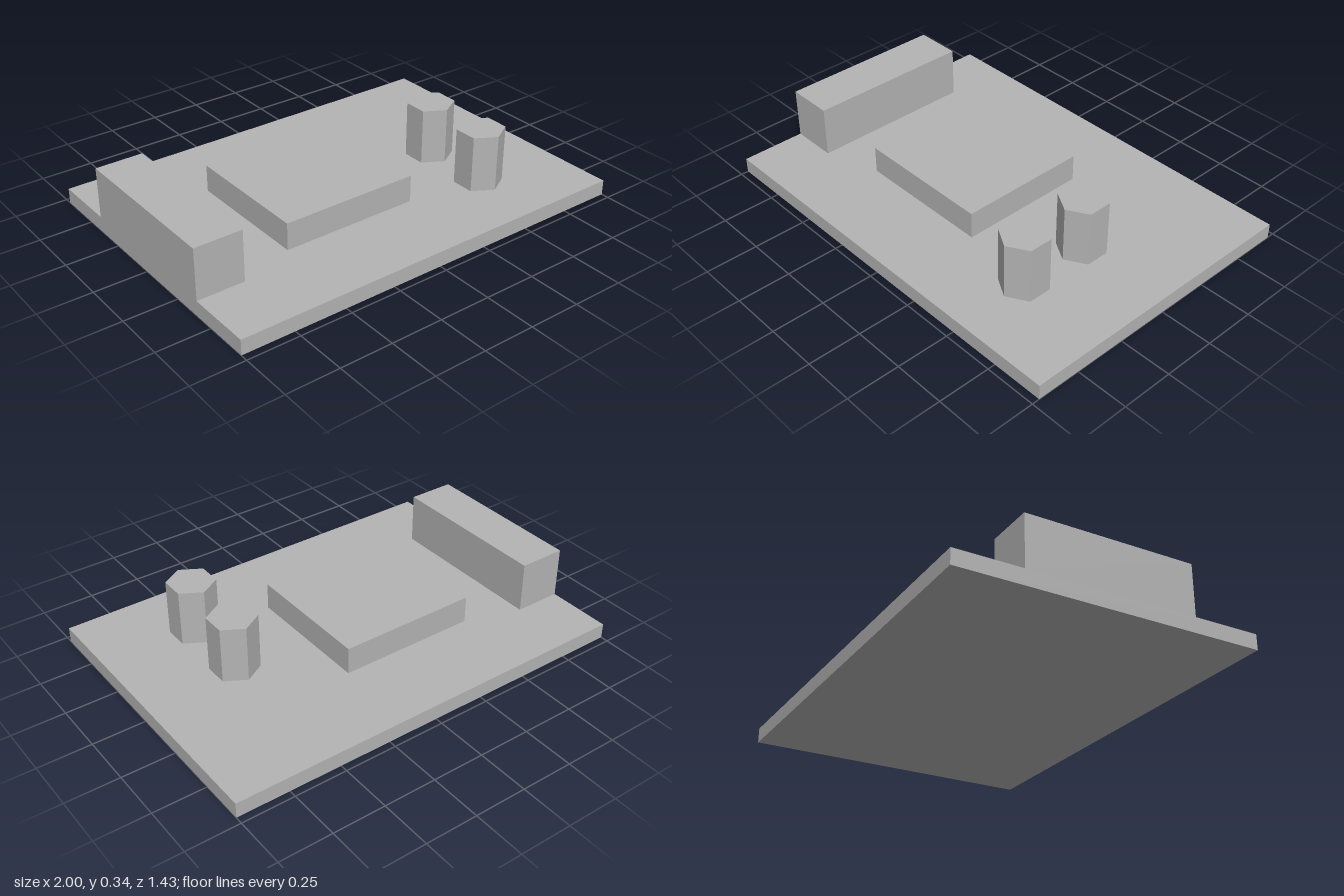
import * as THREE from 'three';

export function createModel() {
  const model = new THREE.Group();
  const grey = new THREE.MeshStandardMaterial({ color: 0xb4b4b4 });
  grey.name = 'grey';
  const boardTop = 0.073;

  function add(name, geometry, x, y, z) {
    const mesh = new THREE.Mesh(geometry, grey);
    mesh.name = name;
    mesh.position.set(x, y, z);
    model.add(mesh);
  }

  // Box given by its x range, y range and depth, centred on z = 0
  function addBox(name, x0, x1, y0, y1, depth) {
    add(name, new THREE.BoxGeometry(x1 - x0, y1 - y0, depth), (x0 + x1) / 2, (y0 + y1) / 2, 0);
  }

  // Circuit board, edge connector and central chip
  addBox('board', -1, 1, 0, boardTop, 1.428);
  addBox('connector', -1, -0.773, boardTop, 0.317, 0.8);
  addBox('chip', -0.503, 0.168, boardTop, 0.203, 0.63);

  // Pair of hexagonal capacitors, corners pointing along z
  const height = 0.343 - boardTop;
  const hexagon = new THREE.CylinderGeometry(0.113, 0.113, height, 6).toNonIndexed();
  hexagon.computeVertexNormals();
  [['frontCapacitor', 0.358], ['rearCapacitor', 0.015]].forEach(([name, z]) =>
    add(name, hexagon, 0.542, boardTop + height / 2, z));

  return model;
}
